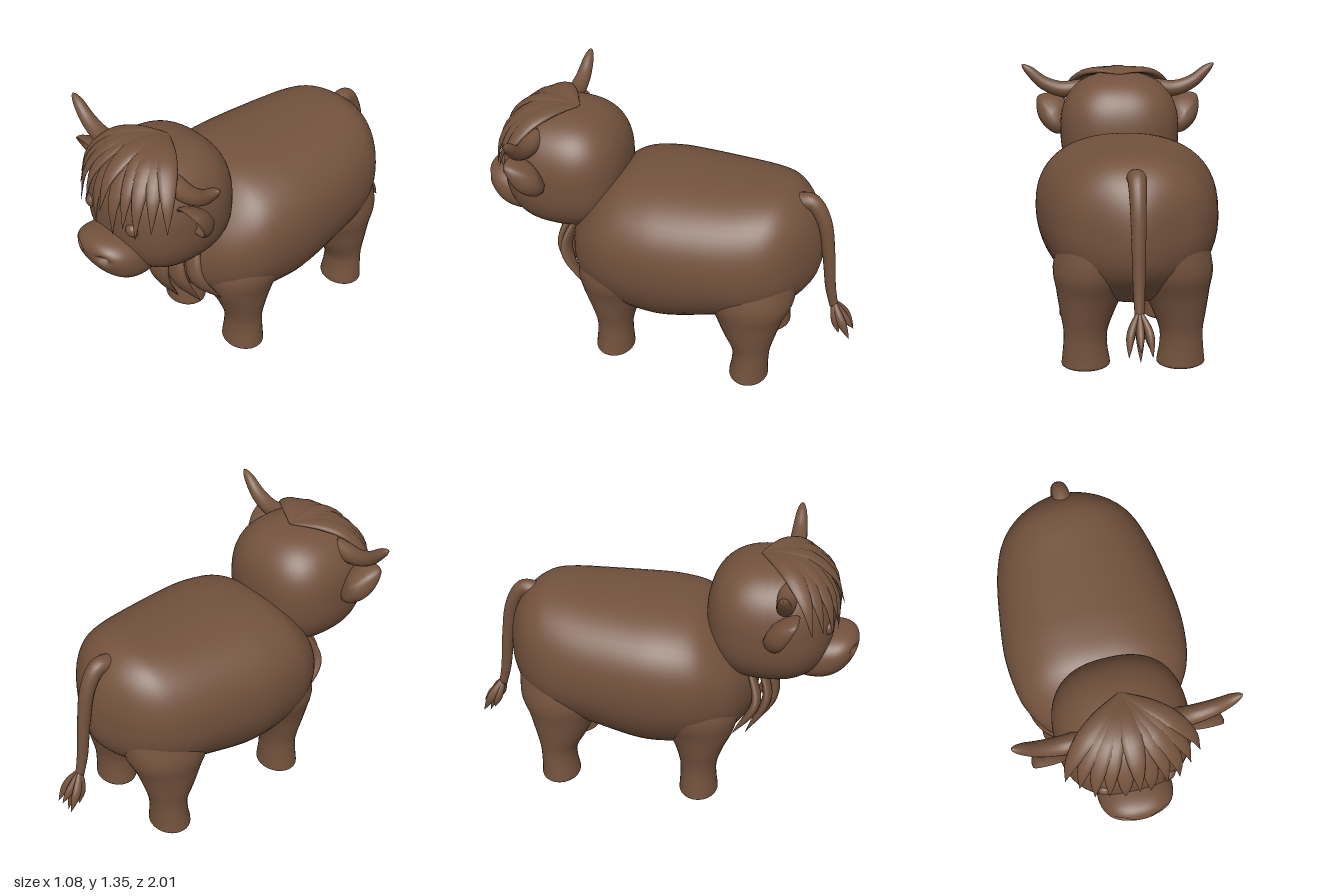
import * as THREE from 'three';

const V = (x, y, z) => new THREE.Vector3(x, y, z);
const coat = new THREE.MeshStandardMaterial({ color: 0x73523d });
coat.name = 'brown coat';

// Skin a stack of closed rings, with capped ends and outward faces.
function loft(rings) {
  const n = rings[0].length, pts = rings.flat(), idx = [];
  const centre = (ring) => ring.reduce((a, p) => a.add(p), V(0, 0, 0)).divideScalar(n);
  const first = pts.length, last = first + 1, end = (rings.length - 1) * n;
  pts.push(centre(rings[0]), centre(rings[rings.length - 1]));
  for (let j = 0; j < n; j++) {
    const k = (j + 1) % n;
    for (let i = 0; i < rings.length - 1; i++) {
      const a = i * n + j, b = i * n + k;
      idx.push(a, b, a + n, b, b + n, a + n);
    }
    idx.push(first, k, j, last, end + j, end + k);
  }
  let volume = 0;
  for (let i = 0; i < idx.length; i += 3) {
    volume += pts[idx[i]].dot(pts[idx[i + 1]].clone().cross(pts[idx[i + 2]]));
  }
  if (volume < 0) idx.reverse();
  const geo = new THREE.BufferGeometry().setFromPoints(pts);
  geo.setIndex(idx);
  geo.computeVertexNormals();
  return geo;
}

// Sweep an ellipse along a curve; up(p) gives the thickness direction.
function sweep(points, up, width, thick, segs = 18, sides = 12) {
  const curve = new THREE.CatmullRomCurve3(points), rings = [];
  for (let i = 0; i <= segs; i++) {
    const t = i / segs, p = curve.getPoint(t), tan = curve.getTangent(t);
    const b = tan.clone().cross(up(p)).normalize(), n = b.clone().cross(tan);
    rings.push(Array.from({ length: sides }, (_, j) => {
      const a = (j / sides) * Math.PI * 2;
      return p.clone().addScaledVector(b, Math.cos(a) * width(t)).addScaledVector(n, Math.sin(a) * thick(t));
    }));
  }
  return loft(rings);
}

// Leaf-shaped hair lock, narrow at the root and pointed at the tip.
function lock(points, up, w, thick, root = 0.3) {
  const leaf = (t) => (t < 0.55
    ? root + (1 - root) * Math.sin((t / 0.55) * Math.PI / 2)
    : Math.max(0.02, 1 - ((t - 0.55) / 0.45) ** 1.6));
  return sweep(points, up, (t) => w * leaf(t), (t) => thick * leaf(t));
}

// Interpolate rows of numbers smoothly.
function smoothRows(rows, steps) {
  const out = [];
  for (let i = 0; i < rows.length - 1; i++) {
    const [a, b, c, d] = [rows[Math.max(i - 1, 0)], rows[i], rows[i + 1], rows[Math.min(i + 2, rows.length - 1)]];
    for (let s = 0; s < steps; s++) {
      const t = s / steps;
      out.push(b.map((v, k) => v + 0.5 * t * (c[k] - a[k]
        + t * (2 * a[k] - 5 * v + 4 * c[k] - d[k] + t * (3 * (v - c[k]) + d[k] - a[k])))));
    }
  }
  out.push(rows[rows.length - 1]);
  return out;
}

const spow = (v, e) => Math.sign(v) * Math.abs(v) ** e;
const ringOf = (n, f) => Array.from({ length: n }, (_, j) => f((j / n) * Math.PI * 2));

// Rounded box-like head surface: distance from its centre along a direction.
const headC = V(0, 0.99, 0.56), headR = V(0.33, 0.32, 0.32);
function onHead(dir, lift = 0) {
  const q = dir.clone().divide(headR);
  const r = (Math.abs(q.x) ** 2.5 + Math.abs(q.y) ** 2.5 + Math.abs(q.z) ** 2.5) ** (-1 / 2.5);
  return dir.clone().multiplyScalar(r).addScaledVector(dir.clone().normalize(), lift).add(headC);
}

// Apply a rule to the vertices of a finely divided unit sphere.
function shapedSphere(rule) {
  const geo = new THREE.SphereGeometry(1, 64, 48), pos = geo.attributes.position, p = V(0, 0, 0);
  for (let i = 0; i < pos.count; i++) {
    const q = rule(p.fromBufferAttribute(pos, i).clone());
    pos.setXYZ(i, q.x, q.y, q.z);
  }
  geo.computeVertexNormals();
  return geo;
}

export function createModel() {
  const model = new THREE.Group();
  model.name = 'shaggyOx';
  const add = (name, geo) => {
    const mesh = new THREE.Mesh(geo, coat);
    mesh.name = name;
    model.add(mesh);
    return mesh;
  };
  const both = (name, make) => [1, -1].forEach((s) => add((s > 0 ? 'left' : 'right') + name, make(s)));

  // Barrel body: z, top, bottom, half width, height of widest point
  const bodyRows = [
    [0.51, 0.66, 0.54, 0.05, 0.6], [0.5, 0.7, 0.48, 0.12, 0.6], [0.46, 0.77, 0.4, 0.23, 0.61],
    [0.4, 0.86, 0.34, 0.33, 0.63], [0.3, 0.97, 0.28, 0.41, 0.67], [0.2, 1.035, 0.25, 0.45, 0.69],
    [0.05, 1.06, 0.225, 0.47, 0.7], [-0.1, 1.065, 0.235, 0.467, 0.7], [-0.35, 1.07, 0.305, 0.435, 0.7],
    [-0.5, 1.075, 0.33, 0.4, 0.7], [-0.6, 1.065, 0.37, 0.355, 0.71], [-0.68, 1.02, 0.44, 0.285, 0.71],
    [-0.74, 0.95, 0.5, 0.19, 0.71], [-0.78, 0.86, 0.57, 0.1, 0.7], [-0.8, 0.75, 0.65, 0.03, 0.7],
  ];
  add('body', loft(smoothRows(bodyRows, 4).map(([z, top, bot, w, mid]) => ringOf(56, (a) => {
    const s = Math.sin(a), e = s > 0 ? 0.85 : 1;
    return V(w * spow(Math.cos(a), e), mid + (s > 0 ? top - mid : mid - bot) * spow(s, e), z);
  }))));

  // Legs: y, centre x, centre z, radius x, radius z
  const legs = {
    FrontLeg: [
      [0, 0.235, 0.24, 0.1, 0.085], [0.012, 0.235, 0.24, 0.118, 0.1], [0.04, 0.235, 0.24, 0.117, 0.1],
      [0.12, 0.237, 0.238, 0.108, 0.094], [0.2, 0.237, 0.238, 0.108, 0.098], [0.3, 0.225, 0.24, 0.14, 0.13],
      [0.4, 0.21, 0.235, 0.175, 0.18], [0.52, 0.2, 0.21, 0.215, 0.225], [0.68, 0.18, 0.15, 0.22, 0.23],
    ],
    BackLeg: [
      [0.01, 0.235, -0.51, 0.1, 0.085], [0.022, 0.235, -0.51, 0.118, 0.1], [0.05, 0.235, -0.51, 0.117, 0.1],
      [0.12, 0.237, -0.515, 0.108, 0.094], [0.2, 0.235, -0.515, 0.108, 0.1], [0.3, 0.225, -0.5, 0.135, 0.14],
      [0.4, 0.21, -0.49, 0.165, 0.18], [0.52, 0.19, -0.48, 0.2, 0.235], [0.7, 0.15, -0.45, 0.2, 0.26],
    ],
  };
  for (const [name, rows] of Object.entries(legs)) {
    both(name, (s) => loft(smoothRows(rows, 4).map(([y, x, z, rx, rz]) =>
      ringOf(32, (a) => V(s * (x + rx * Math.cos(a)), y, z + rz * Math.sin(a))))));
  }

  // Small hair points under the belly
  for (const [x, z] of [[0, 0.09], [0.03, 0.04], [-0.03, 0.04], [0, -0.02]]) {
    add('bellyHair', lock([V(x, 0.3, z), V(x, 0.25, z), V(x * 1.3, 0.205, z)], () => V(0, 0, 1), 0.022, 0.03, 0.8));
  }

  // Head, and muzzle with nostril dents and a mouth groove
  add('head', shapedSphere((p) => onHead(p)));
  add('muzzle', shapedSphere((p) => {
    const r = (Math.abs(p.x) ** 2.4 + Math.abs(p.y) ** 2.4 + Math.abs(p.z) ** 2.4) ** (-1 / 2.4);
    const x = p.x * r * 0.185, y = p.y * r * 0.13;
    let z = p.z * r * 0.15 + y * 0.45;
    if (p.z > 0) {
      const ax = Math.abs(x);
      z -= 0.04 * Math.exp(-(((ax - 0.09) / 0.028) ** 2) - ((y - 0.052) / 0.016) ** 2);
      z -= 0.018 * Math.exp(-(((y + 0.062 + ax * ax * 2) / 0.012) ** 2) - (ax / 0.1) ** 4);
    }
    return V(x, y + 0.81, z + 0.84);
  }));
  both('Eye', (s) => new THREE.SphereGeometry(0.036, 24, 16).translate(s * 0.155, 1.012, 0.845));

  // Curved horns
  both('Horn', (s) => sweep(
    [V(s * 0.2, 1.215, 0.65), V(s * 0.32, 1.208, 0.65), V(s * 0.42, 1.245, 0.65), V(s * 0.495, 1.31, 0.65), V(s * 0.54, 1.348, 0.65)],
    () => V(0, 0, 1), (t) => 0.05 * Math.sqrt(1.001 - t ** 3) * (1 - 0.4 * t),
    (t) => 0.052 * Math.sqrt(1.001 - t ** 3) * (1 - 0.4 * t), 28, 20));

  // Cupped ears: rings of one outline, scaled and moved in depth
  const earCurve = new THREE.CatmullRomCurve3([
    [0.29, 1.12], [0.33, 1.165], [0.4, 1.178], [0.455, 1.16], [0.457, 1.07], [0.42, 1.005], [0.35, 0.962], [0.3, 0.98],
  ].map(([x, y]) => V(x - 0.375, y - 1.08, 0)), true);
  const outline = earCurve.getPoints(40).slice(0, 40);
  const earRings = [[0.05, -0.075], [0.5, -0.065], [0.8, -0.035], [0.96, -0.005], [1, 0.015], [0.97, 0.03],
    [0.88, 0.028], [0.76, 0.005], [0.45, -0.02], [0.05, -0.03]];
  both('Ear', (s) => loft(earRings.map(([k, dz]) => outline.map((p) =>
    V(s * (0.375 + p.x * k), 1.08 + p.y * k, 0.645 + dz + p.y * k * 0.5)))));

  // Fringe locks running from the crown over the head: tip x, y, z, width, lift
  const crown = V(0, 1.31, 0.5).sub(headC);
  function fringe(x, y, z, w, lift) {
    const tip = V(x, y, z).sub(headC), path = [];
    for (let i = 0; i <= 5; i++) {
      const t = i / 5, d = crown.clone().lerp(tip, t);
      d.y += 0.12 * Math.sin(t * Math.PI);
      path.push(onHead(d, (0.002 + lift * t) * (t < 0.2 ? 0.7 : 1)));
    }
    return lock(path, (p) => p.clone().sub(headC), w, 0.018, 0.15);
  }
  for (const [x, y, z, w, lift] of [
    [0.06, 0.96, 0.88, 0.055, 0.02], [0.13, 1.03, 0.87, 0.05, 0.03], [0.19, 1.0, 0.85, 0.05, 0.035],
    [0.26, 1.04, 0.82, 0.05, 0.035], [0.34, 1.05, 0.79, 0.05, 0.05],
  ]) both('FringeLock', (s) => fringe(s * x, y, z, w, lift));
  add('middleFringeLock', fringe(0, 1.06, 0.88, 0.055, 0.04));

  // Chest beard in overlapping leaves
  const front = () => V(0, 0, 1);
  add('middleBeardLock', lock([V(0, 0.74, 0.53), V(0, 0.53, 0.6), V(0, 0.28, 0.48)], front, 0.08, 0.025, 0.6));
  both('InnerBeardLock', (s) => lock(
    [V(s * 0.06, 0.74, 0.51), V(s * 0.115, 0.55, 0.57), V(s * 0.17, 0.35, 0.47)], front, 0.07, 0.025, 0.6));
  both('OuterBeardLock', (s) => lock(
    [V(s * 0.13, 0.74, 0.47), V(s * 0.2, 0.56, 0.52), V(s * 0.26, 0.395, 0.41)], front, 0.062, 0.025, 0.6));

  // Tail and its tuft
  const side = () => V(1, 0, 0);
  add('tail', sweep(
    [V(0, 0.985, -0.66), V(0, 0.995, -0.73), V(0, 0.9, -0.795), V(0, 0.7, -0.835), V(0, 0.5, -0.86), V(0, 0.39, -0.885)],
    side, (t) => 0.048 - 0.026 * t, (t) => 0.05 - 0.028 * t, 32, 18));
  for (const [x, y, z] of [[0, 0.2, -0.97], [0.055, 0.23, -0.99], [-0.055, 0.23, -0.99],
    [0.045, 0.25, -0.93], [-0.045, 0.25, -0.93], [0, 0.26, -1.0]]) {
    add('tailTuftLock', lock(
      [V(0, 0.42, -0.88), V(x * 0.75, 0.33, -0.88 + (z + 0.88) * 0.5), V(x, y, z)], side, 0.024, 0.02, 0.4));
  }
  return model;
}
